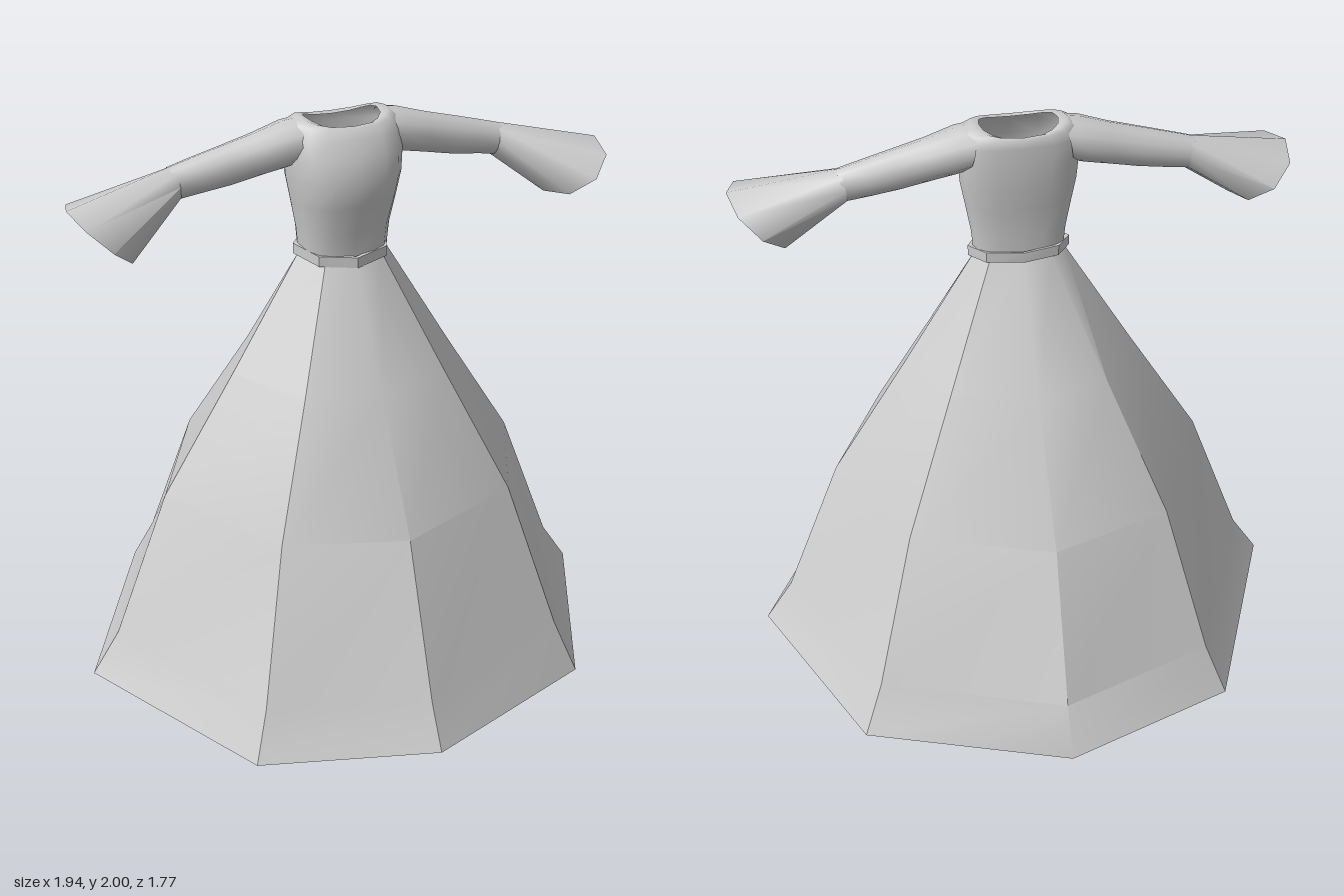
import * as THREE from 'three';
import { toCreasedNormals } from 'three/addons/utils/BufferGeometryUtils.js';

const material = new THREE.MeshStandardMaterial({ color: 0xcccccc, side: THREE.DoubleSide });

// Skin a surface over a list of closed rings of [x, y, z] points.
function loft(name, rings, crease) {
  const n = rings[0].length;
  const index = [];
  for (let i = 0; i < rings.length - 1; i++) {
    for (let j = 0; j < n; j++) {
      const a = i * n + j, b = i * n + (j + 1) % n;
      index.push(a, a + n, b, b, a + n, b + n);
    }
  }
  const geometry = new THREE.BufferGeometry();
  geometry.setAttribute('position', new THREE.Float32BufferAttribute(rings.flat(2), 3));
  geometry.setIndex(index);
  const mesh = new THREE.Mesh(toCreasedNormals(geometry, crease), material);
  mesh.name = name;
  return mesh;
}

// Ring of n points, calling point(cos, sin) for each.
function ring(n, point) {
  return Array.from({ length: n }, (_, i) => {
    const a = (i / n) * Math.PI * 2;
    return point(Math.cos(a), Math.sin(a));
  });
}

// Eight-panelled skirt: slightly irregular corners, scaled at each height.
function skirt() {
  const corners = [[1, 0.02], [0.68, 0.72], [-0.01, 1], [-0.61, 0.77],
    [-1, 0.02], [-0.63, -0.785], [0, -1], [0.7, -0.71]];
  const hem = [0.04, 0, 0.04, 0.02, 0.04, 0.02, 0.025, 0.02];
  const levels = [ // y, half width, front depth, back depth
    [0, 0.97, 0.885, 0.89], [0.19, 0.87, 0.8, 0.8], [0.71, 0.665, 0.6, 0.6],
    [1.13, 0.4, 0.36, 0.32], [1.53, 0.155, 0.13, 0.075]];
  return loft('skirt', levels.map(([y, w, f, b], i) => corners.map(([x, z], j) =>
    [x * w, i === 0 ? hem[j] : y, z * (z > 0 ? f : b)])), 0.6);
}

// Belt: eight-sided band, lower at the front.
function belt() {
  const section = [[0, 0.9], [0, 1], [0.036, 1], [0.036, 0.9], [0, 0.9]];
  return loft('belt', section.map(([h, k]) => ring(8, (c, s) =>
    [c * 0.172 * k, 1.53 + h - Math.max(0, s) * 0.025, s * (s > 0 ? 0.148 : 0.09) * k])), 0.5);
}

// Bodice: squarish oval sections up to the shoulders, then in to the neckline.
function bodice() {
  const soft = v => Math.sign(v) * Math.abs(v) ** 0.8;
  const levels = [ // y, half width, front depth, back depth, dip of front and back
    [1.53, 0.152, 0.125, 0.07, 0], [1.62, 0.16, 0.133, 0.07, 0],
    [1.72, 0.178, 0.165, 0.08, 0], [1.8, 0.193, 0.18, 0.09, 0],
    [1.88, 0.2, 0.165, 0.093, 0], [1.94, 0.2, 0.135, 0.092, 0],
    [1.985, 0.18, 0.115, 0.09, 0.015], [2, 0.155, 0.105, 0.083, 0.025],
    [1.995, 0.128, 0.098, 0.072, 0.028]];
  return loft('bodice', levels.map(([y, w, f, b, dip]) => ring(16, (c, s) =>
    [soft(c) * w, y - dip * s * s, soft(s) * (s > 0 ? f : b)])), 1.1);
}

// Sleeve sections: top x, top y, bottom x, bottom y, centre z, half depth.
const armSections = [
  [0.14, 1.998, 0.17, 1.85, 0.005, 0.085], [0.2, 1.99, 0.21, 1.84, 0.005, 0.088],
  [0.3, 1.96, 0.28, 1.825, 0.003, 0.072], [0.41, 1.932, 0.39, 1.802, 0.002, 0.062],
  [0.5, 1.908, 0.48, 1.79, 0, 0.058], [0.585, 1.885, 0.565, 1.778, 0, 0.05]];
const cuffSections = [
  [0.57, 1.889, 0.555, 1.778, 0, 0.053], [0.93, 1.812, 0.74, 1.638, 0.06, 0.18]];

function sleevePart(name, sections, side, n) {
  return loft(name, sections.map(([tx, ty, bx, by, z, d]) => ring(n, (c, s) => [
    side * ((tx + bx) / 2 + c * (tx - bx) / 2),
    (ty + by) / 2 + c * (ty - by) / 2,
    z - side * s * d])), 1.1);
}

export function createModel() {
  const model = new THREE.Group();
  model.name = 'dress';
  model.add(skirt(), belt(), bodice());
  for (const [label, side] of [['left', 1], ['right', -1]]) {
    const sleeve = new THREE.Group();
    sleeve.name = label + 'Sleeve';
    sleeve.add(
      sleevePart(label + 'Arm', armSections, side, 12),
      sleevePart(label + 'FlaredCuff', cuffSections, side, 8));
    model.add(sleeve);
  }
  return model;
}
